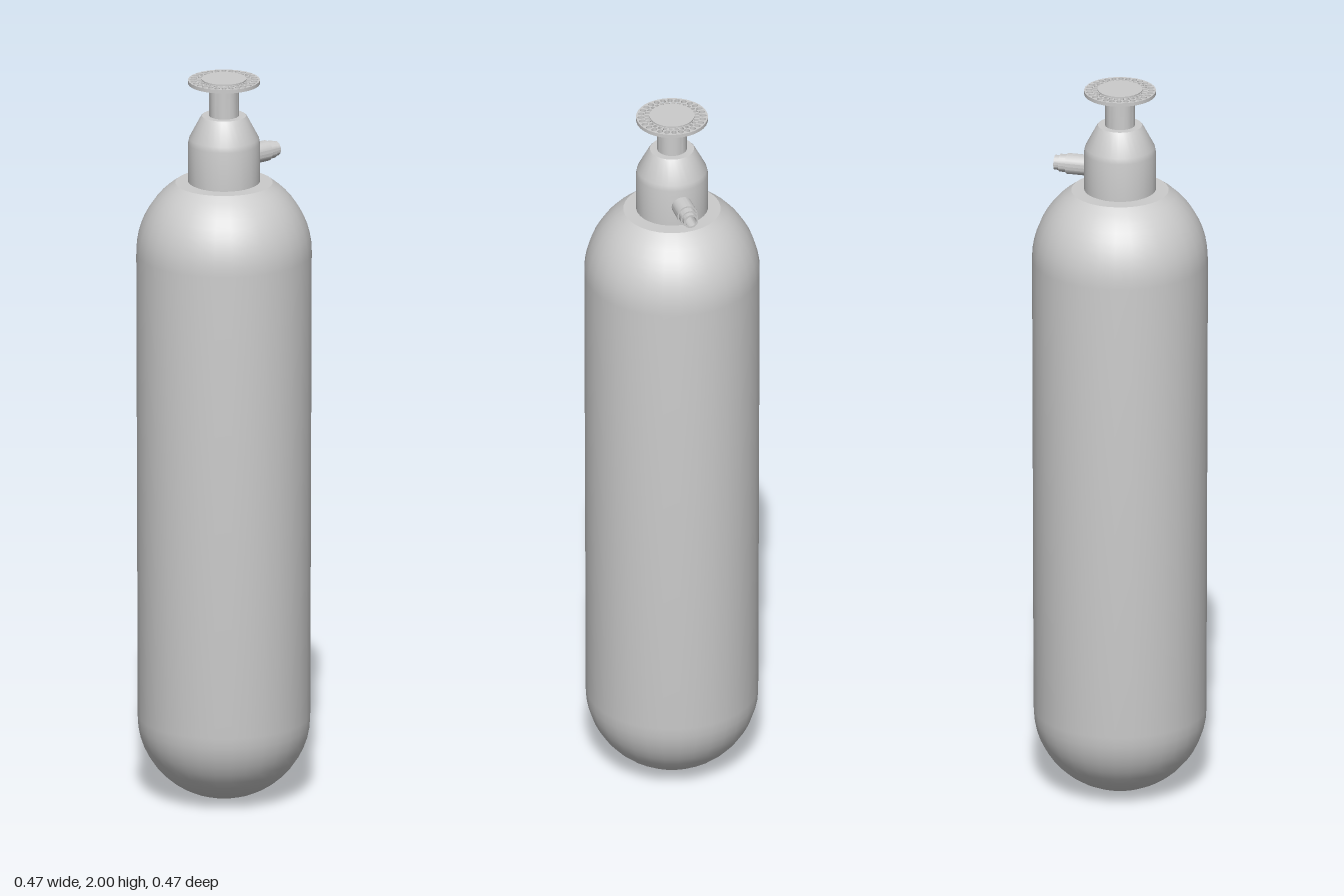
import * as THREE from 'three';
import { toCreasedNormals } from 'three/addons/utils/BufferGeometryUtils.js';

const material = new THREE.MeshStandardMaterial({ color: 0xcccccc });

function part(name, geometry, crease = 0.45) {
  const mesh = new THREE.Mesh(toCreasedNormals(geometry, crease), material);
  mesh.name = name;
  return mesh;
}

function lathe(name, points, segments) {
  return part(name, new THREE.LatheGeometry(points.map(([r, y]) => new THREE.Vector2(r, y)), segments));
}

// Points on a circular arc of a profile, angles measured up from horizontal
function arc(radius, height, centreY, from, to, steps) {
  return Array.from({ length: steps + 1 }, (_, i) => {
    const a = from + (to - from) * i / steps;
    return [Math.max(0, radius * Math.cos(a)), centreY + height * Math.sin(a)];
  });
}

export function createModel() {
  const model = new THREE.Group();
  model.name = 'gasCylinder';

  // Tank: round bottom, straight wall, rounded shoulder with a flat top
  model.add(lathe('tank', [
    ...arc(0.231, 0.225, 0.23, -Math.PI / 2, 0, 12),
    ...arc(0.235, 0.235, 1.515, 0, 0.985, 9),
    [0, 1.711],
  ], 32));

  // Valve body with a small foot and a tapered top
  model.add(lathe('valveBody', [
    [0, 1.705], [0.09, 1.705], [0.09, 1.714], [0.096, 1.714], [0.096, 1.82],
    [0.093, 1.835], [0.063, 1.892], [0.059, 1.897], [0, 1.897],
  ], 32));

  // Stem under the handwheel
  model.add(lathe('stem', [[0, 1.89], [0.04, 1.89], [0.04, 1.988], [0, 1.988]], 24));

  // Stepped outlet with an open bore, pointing to the left side
  const outlet = lathe('outlet', [
    [0, 0.07], [0.028, 0.07], [0.028, 0.145], [0.024, 0.145], [0.024, 0.165],
    [0.02, 0.165], [0.02, 0.179], [0.015, 0.179], [0.015, 0.11], [0, 0.11],
  ], 20);
  outlet.rotation.z = -Math.PI / 2;
  outlet.position.y = 1.772;
  model.add(outlet);

  // Handwheel: thin disc pierced by two rings of holes
  const disc = new THREE.Shape().absarc(0, 0, 0.096, 0, Math.PI * 2);
  const count = 28;
  for (let i = 0; i < count; i++) {
    const a = (i / count) * Math.PI * 2;
    disc.holes.push(new THREE.Path().absellipse(
      0.083 * Math.cos(a), 0.083 * Math.sin(a), 0.009, 0.007, 0, Math.PI * 2, true, a));
    const b = a + Math.PI / count;
    const corner = (r, w) => new THREE.Vector2(
      r * Math.cos(b) - w * Math.sin(b), r * Math.sin(b) + w * Math.cos(b));
    disc.holes.push(new THREE.Path([
      corner(0.0615, -0.005), corner(0.0615, 0.005), corner(0.0735, 0.005), corner(0.0735, -0.005),
    ]));
  }
  const wheel = part('handwheel',
    new THREE.ExtrudeGeometry(disc, { depth: 0.01, bevelEnabled: false, curveSegments: 16 }));
  wheel.rotation.x = -Math.PI / 2;
  wheel.position.y = 1.986;
  model.add(wheel);

  // Raised hub plate on the handwheel
  model.add(lathe('hubPlate', [[0, 1.985], [0.06, 1.985], [0.06, 2], [0, 2]], 28));

  return model;
}
